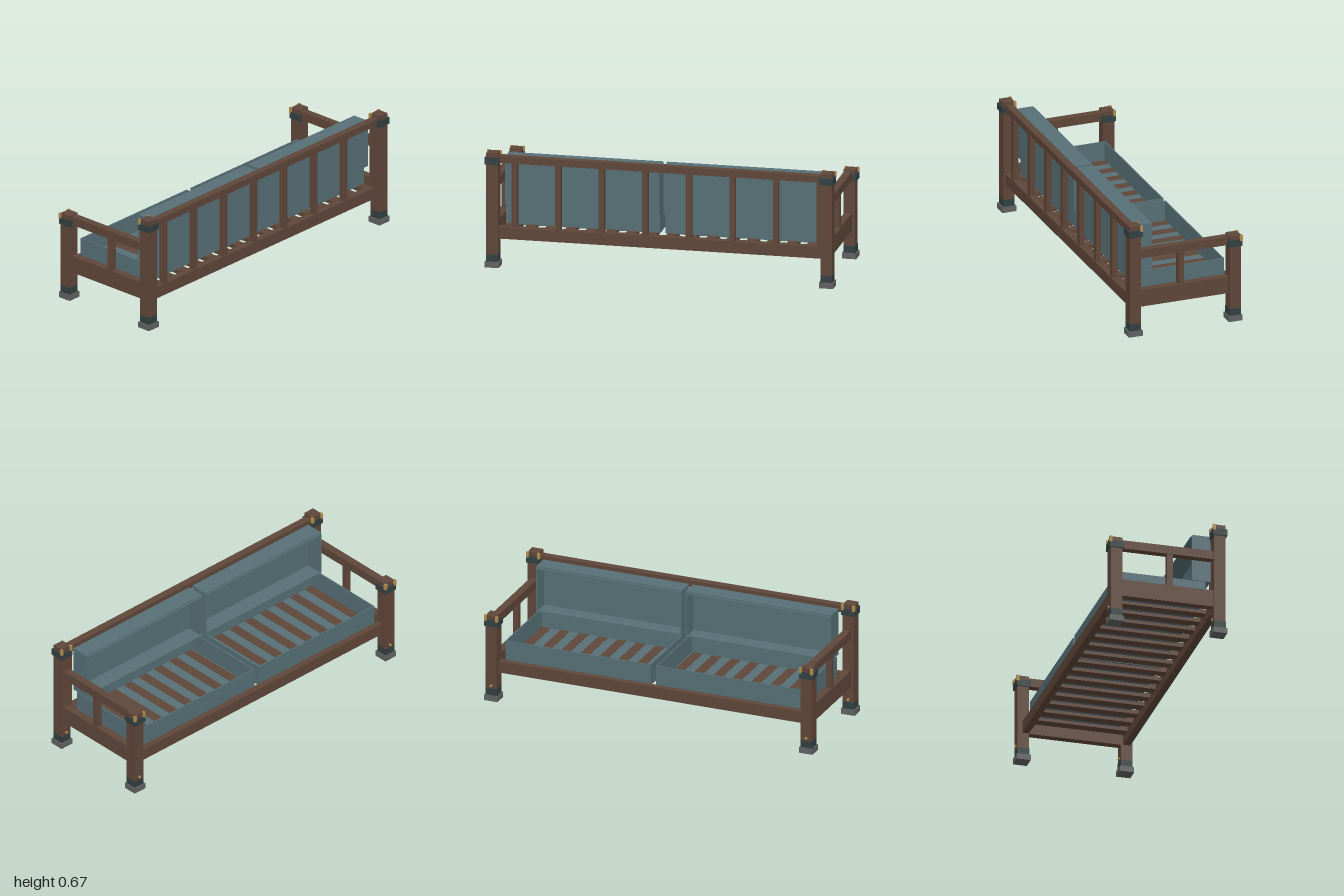
import * as THREE from 'three';

const paint = (name, color) => {
  const m = new THREE.MeshStandardMaterial({ color });
  m.name = name;
  return m;
};

export function createModel() {
  const model = new THREE.Group();
  model.name = 'slattedSofa';
  const wood = paint('brown wood', 0x5f4639);
  const fabric = paint('teal fabric', 0x567076);
  const iron = paint('dark iron', 0x334040);
  const rubber = paint('grey foot', 0x606161);
  const brass = paint('brass', 0xb08d4f);

  // Box given by its lower and upper bounds on each axis
  const box = (parent, name, material, [x0, x1], [y0, y1], [z0, z1]) => {
    const mesh = new THREE.Mesh(new THREE.BoxGeometry(x1 - x0, y1 - y0, z1 - z0), material);
    mesh.position.set((x0 + x1) / 2, (y0 + y1) / 2, (z0 + z1) / 2);
    mesh.name = name;
    parent.add(mesh);
    return mesh;
  };
  const around = (c, half) => [c - half, c + half];

  // Corner posts with feet, iron collars, caps and brass fittings
  const addPost = (x, z, top) => {
    const post = new THREE.Group();
    post.name = top > 0.6 ? 'tallPost' : 'shortPost';
    post.position.set(x, 0, z);
    const w = around(0, 0.0335), wide = around(0, 0.041), cuff = around(0, 0.034);
    box(post, 'foot', rubber, wide, [0, 0.033], wide);
    box(post, 'ankleBand', iron, cuff, [0.033, 0.075], cuff);
    box(post, 'shaft', wood, w, [0.075, top - 0.065], w);
    box(post, 'collar', iron, wide, [top - 0.065, top - 0.025], wide);
    box(post, 'cap', wood, w, [top - 0.025, top], w);
    for (const s of [-1, 1])
      box(post, 'cornerFitting', brass, around(s * 0.0335, 0.008), [top - 0.034, top], [-0.0417, -0.0265]);
    const bolt = new THREE.Mesh(new THREE.CylinderGeometry(0.0075, 0.0075, 0.01, 12), brass);
    bolt.rotation.x = Math.PI / 2;
    bolt.position.set(0, 0.0925, -0.0365);
    bolt.name = 'bolt';
    post.add(bolt);
    model.add(post);
  };

  // Ends: two posts, stacked side rails, armrest and its upright
  for (const s of [-1, 1]) {
    const x = s * 0.959, railX = around(s * 0.953, 0.022), railZ = [-0.268, 0.268];
    addPost(x, 0.301, 0.667);
    addPost(x, -0.301, 0.518);
    box(model, 'sideRail', wood, railX, [0.167, 0.235], railZ);
    box(model, 'sideUpperRail', wood, railX, [0.235, 0.267], railZ);
    box(model, 'armrest', wood, railX, [0.46, 0.51], railZ);
    box(model, 'armUpright', wood, around(s * 0.953, 0.017), [0.267, 0.46], [0, 0.033]);
  }

  // Long rails
  const span = [-0.928, 0.928];
  box(model, 'seatRail', wood, span, [0.167, 0.235], [-0.307, -0.268]);
  box(model, 'backLowerRail', wood, span, [0.167, 0.235], [0.28, 0.322]);
  box(model, 'backTopRail', wood, span, [0.61, 0.65], [0.28, 0.322]);

  // Back spindles, evenly stepped
  for (let i = 0; i < 8; i++)
    box(model, 'backSpindle', wood, around(-0.835 + i * 0.25, 0.016), [0.228, 0.615], [0.285, 0.317]);

  // Seat slats
  for (let i = 0; i < 16; i++)
    box(model, 'seatSlat', wood, around((i - 7.5) * 0.1155, 0.0285), [0.212, 0.237], [-0.27, 0.282]);

  // Hollow cushions: seat open at the top, back open toward the seat
  const t = 0.007;
  for (const s of [-1, 1]) {
    const span2 = (a, b) => (s > 0 ? [a, b] : [-b, -a]);
    const seat = new THREE.Group();
    seat.name = 'seatCushion';
    const x = [0.016, 0.9], sy = [0.235, 0.35];
    box(seat, 'floor', fabric, span2(...x), [0.231, 0.236], [-0.268, 0.236]);
    box(seat, 'frontWall', fabric, span2(...x), sy, [-0.27, -0.27 + t]);
    box(seat, 'rearWall', fabric, span2(...x), sy, [0.235, 0.242]);
    box(seat, 'innerWall', fabric, span2(x[0], x[0] + t), sy, [-0.263, 0.235]);
    box(seat, 'outerWall', fabric, span2(x[1] - t, x[1]), sy, [-0.263, 0.235]);

    const back = new THREE.Group();
    back.name = 'backCushion';
    const bx = [0.012, 0.898], bz = [0.168, 0.272], by = [0.36, 0.625];
    box(back, 'rearPanel', fabric, span2(...bx), by, [0.265, 0.272]);
    box(back, 'topPanel', fabric, span2(...bx), [0.625, 0.632], bz);
    box(back, 'bottomPanel', fabric, span2(...bx), [0.353, 0.36], bz);
    for (const e of [[bx[0], bx[0] + t], [bx[1] - t, bx[1]]]) {
      box(back, 'sidePanel', fabric, span2(...e), by, [0.168, 0.265]);
      box(back, 'sidePiping', fabric, span2(...e), by, [0.159, 0.168]);
    }
    for (const y of [[0.36, 0.367], [0.618, 0.625]])
      box(back, 'piping', fabric, span2(bx[0] + t, bx[1] - t), y, [0.159, 0.172]);
    // Only short ends of the side piping remain at the corners
    back.children.filter((m) => m.name === 'sidePiping').forEach((m) => {
      m.scale.y = 0.999;
      m.scale.z = 0.5;
      m.position.z = 0.166;
    });
    model.add(seat, back);
  }
  return model;
}
